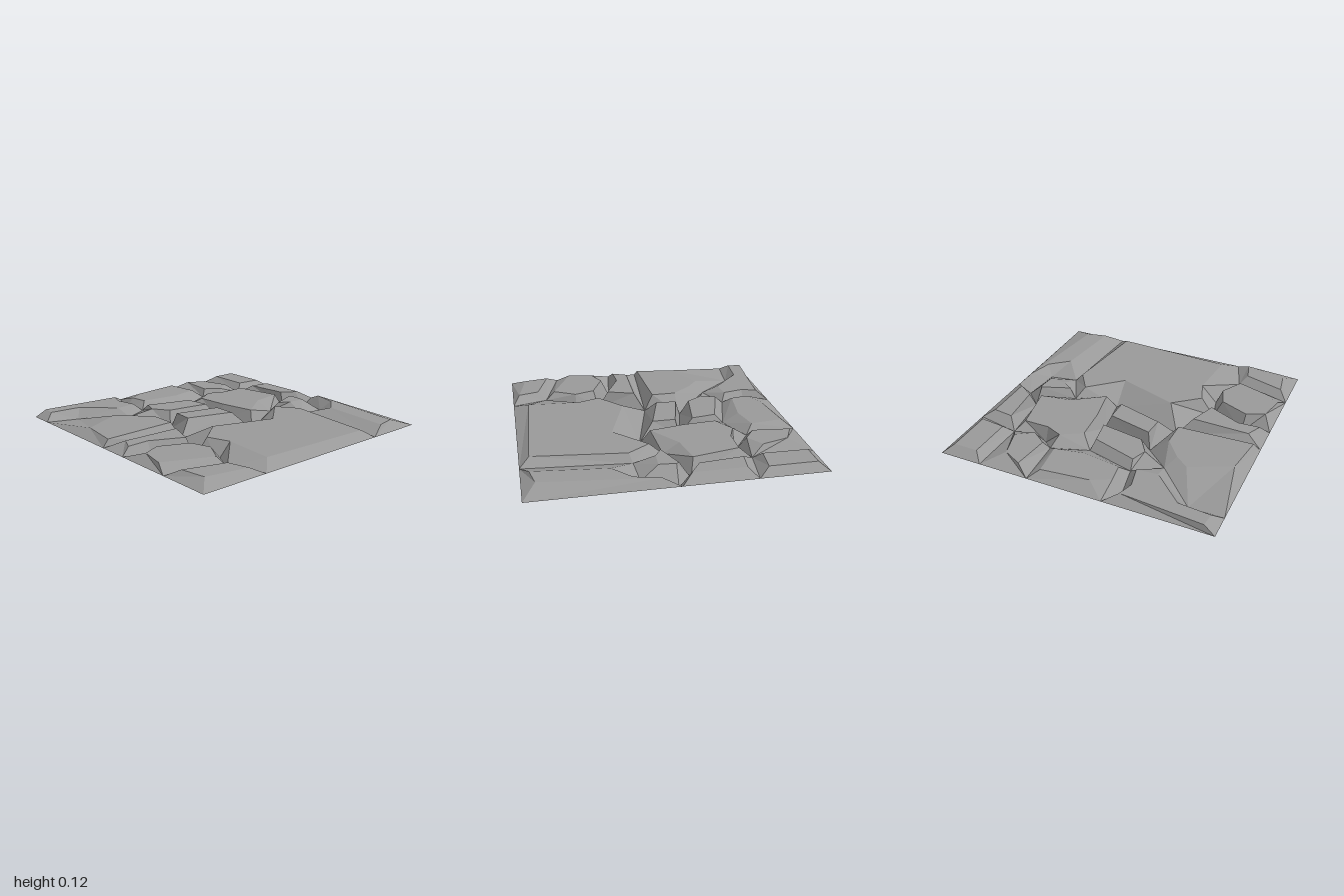
import * as THREE from 'three';

const TOP = 0.125, RIM = 0.075;

// Where the cracks meet the square rim: [x, z]
const rim = {
  nw: [-1, -1], n1: [-0.23, -1], n2: [0.32, -1], n3: [0.69, -1], ne: [1, -1],
  e1: [1, -0.51], e2: [1, 0], se: [1, 1], s2: [0.56, 1], s1: [-0.5, 1], sw: [-1, 1],
  w4: [-1, 0.62], w3: [-1, 0.18], w2: [-1, -0.05], w1: [-1, -0.82],
};
// Where the cracks meet or bend inside the tile: [x, z, height]
const cracks = {
  a: [-0.75, -0.8, 0.055], b: [-0.3, -0.82, 0.042], c: [-0.27, -0.63, 0.068],
  d: [-0.47, -0.52, 0.08], e: [0.09, -0.53, 0.06], f: [0.35, -0.63, 0.068],
  g: [0.46, -0.51, 0.005], h: [0.69, -0.56, 0.065], i: [-0.26, -0.28, 0],
  j: [0.15, -0.18, 0.01], k: [-0.36, -0.02, 0.01], l: [0.2, 0.13, 0],
  m: [0.5, 0.02, 0.06], n: [0.78, -0.11, 0.005], o: [0.9, 0, 0.015],
  p: [0.84, 0.24, 0.05], q: [0.62, 0.25, 0.07], r: [-0.52, 0.33, 0],
  s: [-0.78, 0.21, 0], t: [-0.48, 0.51, 0], u: [-0.59, 0.74, 0.068],
};

function crackPoint(key) {
  const [x, z, y = RIM] = rim[key] || cracks[key];
  return new THREE.Vector3(x, y, z);
}

// One slab: a flat top joined by bevels to the cracks around it
function slab(name, crackKeys, topCorners, material) {
  const outer = crackKeys.split(' ').map(crackPoint);
  const inner = topCorners.map(([x, z]) => new THREE.Vector3(x, TOP, z));
  const positions = [];
  const triangle = (a, b, c) => {
    const up = (b.z - a.z) * (c.x - a.x) - (b.x - a.x) * (c.z - a.z) > 0;
    for (const v of up ? [a, b, c] : [a, c, b]) positions.push(v.x, v.y, v.z);
  };

  // Flat top
  const flat = inner.map((v) => new THREE.Vector2(v.x, v.z));
  for (const [a, b, c] of THREE.ShapeUtils.triangulateShape(flat, [])) {
    triangle(inner[a], inner[b], inner[c]);
  }

  // Bevel: walk both outlines together, always taking the shorter diagonal
  let i = 0, j = 0;
  while (i < outer.length || j < inner.length) {
    const o = outer[i % outer.length], oNext = outer[(i + 1) % outer.length];
    const n = inner[j % inner.length], nNext = inner[(j + 1) % inner.length];
    const stepOuter = j === inner.length
      || (i < outer.length && oNext.distanceTo(n) < nNext.distanceTo(o));
    if (stepOuter) { triangle(o, oNext, n); i++; } else { triangle(o, nNext, n); j++; }
  }

  const geometry = new THREE.BufferGeometry();
  geometry.setAttribute('position', new THREE.Float32BufferAttribute(positions, 3));
  geometry.computeVertexNormals();
  const mesh = new THREE.Mesh(geometry, material);
  mesh.name = name;
  return mesh;
}

export function createModel() {
  const tile = new THREE.Group();
  tile.name = 'crackedStoneTile';
  const stone = new THREE.MeshStandardMaterial({
    color: 0x999999, flatShading: true, side: THREE.DoubleSide,
  });
  const add = (name, keys, corners) => tile.add(slab(name, keys, corners, stone));

  // Back row
  add('backRightSlab', 'nw n1 b c d a w1', [[-0.92, -0.98], [-0.33, -0.93], [-0.365, -0.82],
    [-0.33, -0.665], [-0.48, -0.65], [-0.7, -0.86], [-0.93, -0.88]]);
  add('backMiddleSlab', 'n1 n2 f e c b', [[-0.1, -0.89], [0.25, -0.93], [0.28, -0.69],
    [0.08, -0.65], [-0.21, -0.69], [-0.23, -0.82]]);
  add('backInnerSlab', 'n2 n3 h g f', [[0.42, -0.93], [0.56, -0.86], [0.62, -0.66],
    [0.5, -0.58], [0.39, -0.66]]);
  add('backLeftSlab', 'n3 ne e1 h', [[0.755, -0.93], [0.935, -0.93], [0.935, -0.59],
    [0.75, -0.61]]);

  // Middle row
  add('wideRightSlab', 'w1 a d i k w2', [[-0.91, -0.36], [-0.62, -0.5], [-0.52, -0.42],
    [-0.4, -0.27], [-0.4, -0.09], [-0.95, -0.065]]);
  add('centreBackSlab', 'c e j i d', [[-0.26, -0.57], [0.07, -0.47], [0.1, -0.29],
    [-0.22, -0.34], [-0.3, -0.46]]);
  add('centreFrontSlab', 'i j l k', [[-0.23, -0.24], [0.1, -0.16], [0.1, 0.01],
    [-0.24, -0.09]]);
  add('centreLeftSlab', 'e f g h n m l j', [[0.18, -0.44], [0.33, -0.53], [0.45, -0.48],
    [0.64, -0.48], [0.71, -0.14], [0.48, -0.1], [0.25, 0.06], [0.2, -0.2]]);
  add('leftEdgeSlab', 'h e1 e2 o n', [[0.77, -0.47], [0.92, -0.45], [0.92, -0.08],
    [0.9, -0.09], [0.8, -0.16]]);
  add('smallLeftSlab', 'm n o p q', [[0.56, 0.05], [0.77, -0.03], [0.78, -0.01],
    [0.77, 0.11], [0.64, 0.1]]);

  // Front row
  add('rightUpperSlab', 'w2 k r s w3', [[-0.88, 0.04], [-0.46, 0.05], [-0.53, 0.25],
    [-0.77, 0.14], [-0.93, 0.15]]);
  add('rightLowerSlab', 'w3 s r t u w4', [[-0.92, 0.33], [-0.79, 0.27], [-0.58, 0.36],
    [-0.53, 0.51], [-0.62, 0.67], [-0.96, 0.52]]);
  add('frontRightSlab', 'w4 u s1 sw', [[-0.93, 0.71], [-0.64, 0.8], [-0.6, 0.95],
    [-0.9, 0.89]]);
  add('largeFrontSlab', 'k l m q s2 s1 u t r', [[-0.23, 0.18], [0.22, 0.33], [0.46, 0.11],
    [0.57, 0.27], [0.49, 0.93], [-0.39, 0.89], [-0.36, 0.51], [-0.42, 0.34]]);
  add('frontLeftSlab', 'q p o e2 se s2', [[0.76, 0.42], [0.9, 0.3], [0.95, 0.12],
    [0.85, 0.91], [0.7, 0.94]]);

  return tile;
}
